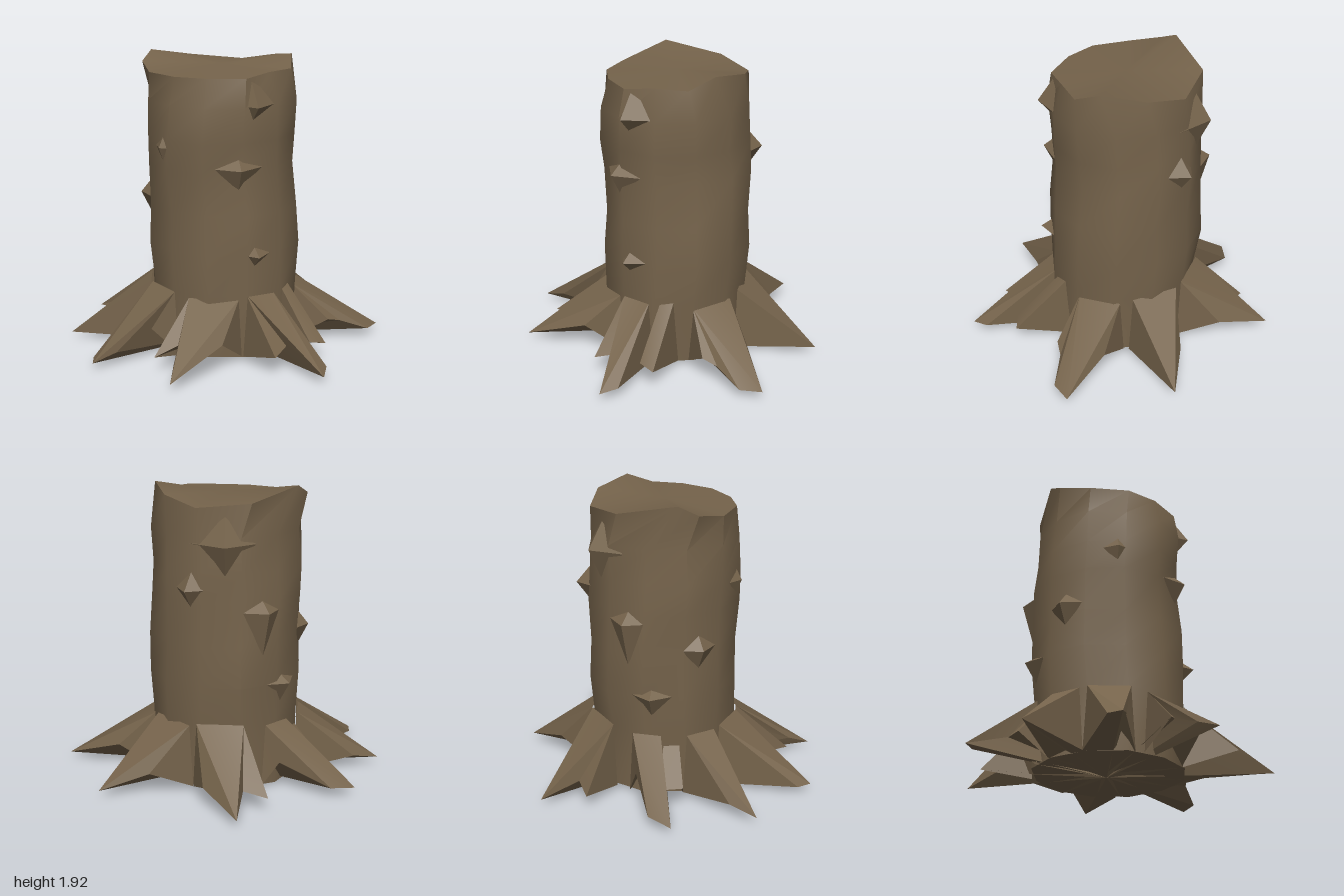
import * as THREE from 'three';
import { toCreasedNormals } from 'three/addons/utils/BufferGeometryUtils.js';
import { ConvexGeometry } from 'three/addons/geometries/ConvexGeometry.js';

const bark = new THREE.MeshStandardMaterial({ color: 0x75634b });
bark.name = 'brown bark';
const CX = 0.02, CZ = -0.06, SIDES = 12;

// point around the trunk axis: angle in degrees from +x towards +z
function around(deg, y, r) {
  const a = THREE.MathUtils.degToRad(deg);
  return [CX + r * Math.cos(a), y, CZ + r * Math.sin(a)];
}

function creased(points, faces, angle) {
  const geo = new THREE.BufferGeometry();
  geo.setAttribute('position', new THREE.Float32BufferAttribute(points.flat(), 3));
  geo.setIndex(faces.flat());
  return toCreasedNormals(geo, angle);
}

// trunk outline per level: y, xMin, xMax, zMin, zMax
const levels = [
  [0.02, -0.45, 0.49, -0.53, 0.44],
  [0.43, -0.45, 0.49, -0.53, 0.45],
  [0.70, -0.46, 0.52, -0.56, 0.45],
  [0.95, -0.45, 0.51, -0.55, 0.44],
  [1.23, -0.47, 0.51, -0.55, 0.41],
  [1.42, -0.48, 0.50, -0.54, 0.42],
  [1.64, -0.47, 0.50, -0.53, 0.43],
];
// jagged top rim: x, y, z
const rim = [
  [0.47, 1.87, 0.0], [0.35, 1.91, 0.25], [0.21, 1.84, 0.36],
  [0.0, 1.84, 0.36], [-0.2, 1.82, 0.35], [-0.36, 1.82, 0.17],
  [-0.44, 1.82, -0.03], [-0.41, 1.82, -0.28], [-0.3, 1.86, -0.46],
  [-0.18, 1.92, -0.5], [0.2, 1.85, -0.5], [0.44, 1.82, -0.26],
];

function trunkGeometry() {
  const pts = [], faces = [];
  levels.forEach(([y, x0, x1, z0, z1], k) => {
    for (let i = 0; i < SIDES; i++) {
      const a = (i / SIDES) * Math.PI * 2;
      const wobble = 1 + 0.015 * Math.sin(i * 2.3 + k * 1.7);
      pts.push([
        (x0 + x1) / 2 + ((x1 - x0) / 2) * Math.cos(a) * wobble,
        y,
        (z0 + z1) / 2 + ((z1 - z0) / 2) * Math.sin(a) * wobble,
      ]);
    }
  });
  pts.push(...rim);
  const top = pts.push([CX, 1.85, CZ]) - 1;
  const bottom = pts.push([CX, 0.02, CZ]) - 1;
  const rimStart = levels.length * SIDES;
  for (let i = 0; i < SIDES; i++) {
    const j = (i + 1) % SIDES;
    for (let k = 0; k < rimStart; k += SIDES) {
      const a = k + i, b = k + j;
      faces.push([a, a + SIDES, b], [b, a + SIDES, b + SIDES]);
    }
    faces.push([top, rimStart + j, rimStart + i], [bottom, i, j]);
  }
  return creased(pts, faces, 0.65);
}

// root: a crown edge on the trunk, fanned down to toes (x, z) that sink with reach;
// the two fans meet at the farthest toe
function rootGeometry({ from, to, height, toes }) {
  const reach = toes.map(([x, z]) => Math.hypot(x, z));
  const split = reach.indexOf(Math.max(...reach)) + 1;
  const outline = [
    around(from - 3, 0.02, 0.48),
    ...toes.map(([x, z], i) => [x, 0.05 + 0.4 * Math.max(0, 0.98 - reach[i]), z]),
    around(to + 3, 0.02, 0.48),
  ];
  const pts = [around(from, height, 0.48), around(to, height, 0.48), [CX, 0, CZ], ...outline];
  const faces = [[0, 1, split + 3]];
  for (let i = 0; i < outline.length - 1; i++) {
    faces.push([i < split ? 0 : 1, i + 4, i + 3], [2, i + 3, i + 4]);
  }
  return creased(pts, faces, 0.3);
}

const roots = [
  { from: -20, to: 18, height: 0.43, toes: [[0.73, -0.14], [1, 0.03]] },
  { from: 28, to: 62, height: 0.4, toes: [[0.61, 0.35], [0.78, 0.68], [0.64, 0.71], [0.47, 0.6], [0.37, 0.58]] },
  { from: 76, to: 86, height: 0.46, toes: [[0.1, 0.77], [0, 0.72]] },
  { from: 95, to: 118, height: 0.44, toes: [[-0.08, 0.92], [-0.18, 0.98], [-0.17, 0.67], [-0.31, 0.7]] },
  { from: 124, to: 163, height: 0.41, toes: [[-0.48, 0.41], [-0.9, 0.37], [-0.78, 0.28], [-0.6, 0.2], [-0.79, 0.12]] },
  { from: 176, to: 208, height: 0.43, toes: [[-0.6, -0.1], [-0.85, -0.16], [-1, -0.22], [-0.93, -0.29]] },
  { from: 214, to: 238, height: 0.42, toes: [[-0.74, -0.73], [-0.56, -0.68]] },
  { from: 244, to: 256, height: 0.36, toes: [[-0.26, -0.67], [-0.12, -0.72]] },
  { from: 258, to: 280, height: 0.43, toes: [[-0.14, -0.7], [-0.26, -0.98], [-0.1, -0.92], [0.06, -0.62]] },
  { from: 298, to: 334, height: 0.45, toes: [[0.33, -0.81], [0.42, -0.68], [0.62, -0.85], [0.59, -0.5]] },
];

// bark splinters: angle, y and radius of the apex, then spread in degrees
// to either side and in height above and below
const splinters = [
  [113, 1.65, 0.55, 33, 7, 0.15, 0.1],
  [124, 1.26, 0.54, 20, 20, 0.08, 0.15],
  [112, 0.7, 0.56, 26, 10, 0.08, 0.1],
  [-22, 1.32, 0.56, 16, 17, 0.13, 0.14],
  [186, 1.37, 0.52, 21, 19, 0.13, 0.15],
  [-77, 1.18, 0.56, 28, 27, 0.08, 0.36],
  [-95, 0.7, 0.55, 25, 40, 0.06, 0.15],
  [-48, 1.6, 0.55, 24, 28, 0.17, 0.2],
  [228, 1.0, 0.53, 23, 22, 0.1, 0.14],
];

function splinterGeometry([deg, y, r, right, left, up, down]) {
  const pts = [
    around(deg, y, r),
    around(deg - right, y, 0.46), around(deg + left, y, 0.46),
    around(deg, y + up, 0.45), around(deg, y - down, 0.46),
  ];
  return new ConvexGeometry(pts.map((p) => new THREE.Vector3(...p)));
}

export function createModel() {
  const stump = new THREE.Group();
  stump.name = 'treeStump';
  const add = (geo, name) => {
    const mesh = new THREE.Mesh(geo, bark);
    mesh.name = name;
    stump.add(mesh);
  };
  add(trunkGeometry(), 'trunk');
  roots.forEach((root, i) => add(rootGeometry(root), `root${i + 1}`));
  splinters.forEach((s, i) => add(splinterGeometry(s), `barkSplinter${i + 1}`));
  return stump;
}
